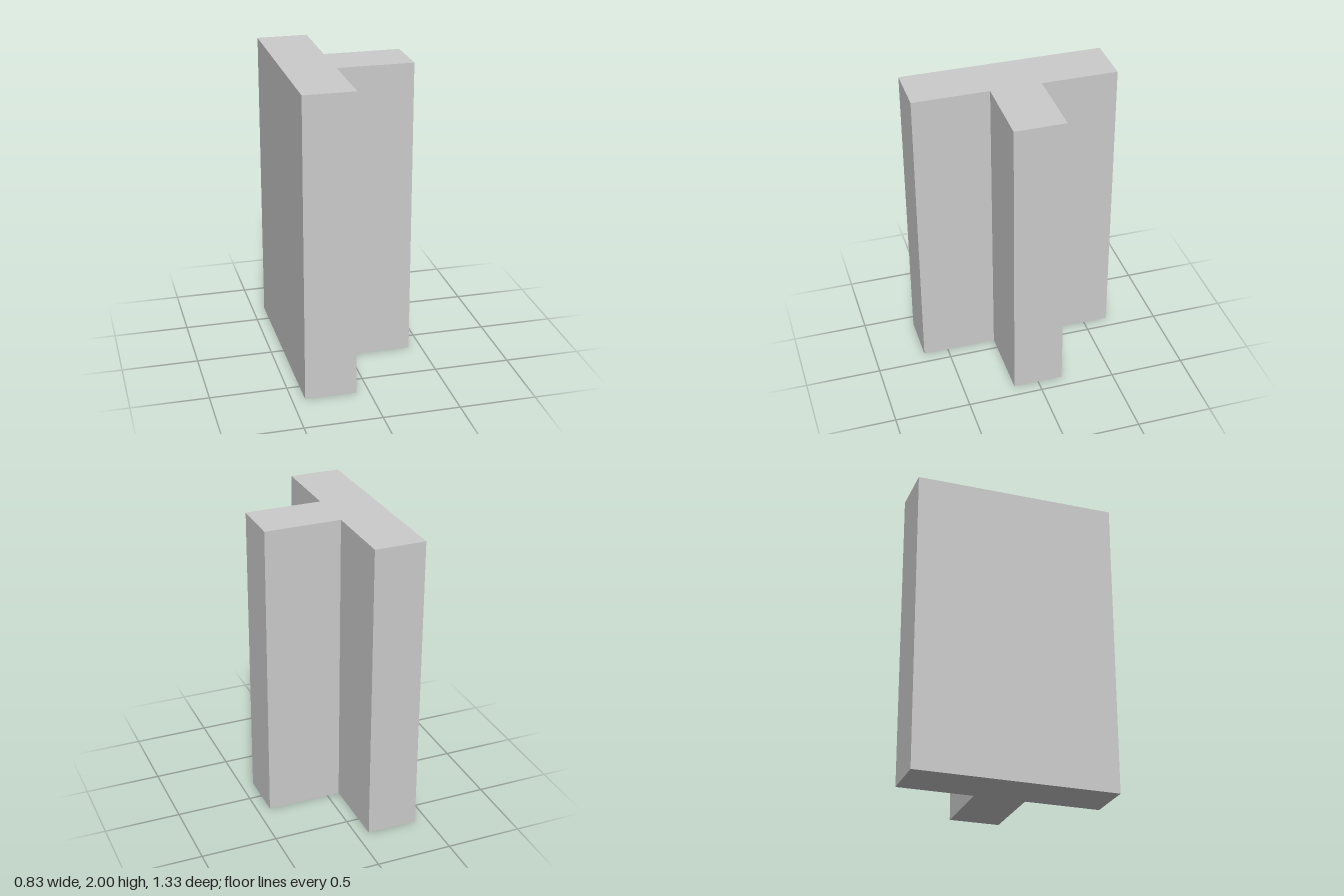
import * as THREE from 'three';

const HEIGHT = 2;
const BACK_X = -5 / 12;      // outer face of the flange
const INNER_X = -1 / 12;     // inner face of the flange
const FRONT_X = 5 / 12;      // end of the stem
const FLANGE_HALF = 2 / 3;
const STEM_HALF = 1 / 6;

export function createModel() {
  const group = new THREE.Group();
  group.name = 'teeColumn';

  // T-shaped footprint, counter-clockwise
  const footprint = new THREE.Shape([
    [BACK_X, -FLANGE_HALF], [INNER_X, -FLANGE_HALF],
    [INNER_X, -STEM_HALF], [FRONT_X, -STEM_HALF],
    [FRONT_X, STEM_HALF], [INNER_X, STEM_HALF],
    [INNER_X, FLANGE_HALF], [BACK_X, FLANGE_HALF],
  ].map(([x, z]) => new THREE.Vector2(x, z)));

  // Footprint raised straight up from the ground
  const geometry = new THREE.ExtrudeGeometry(footprint, { depth: HEIGHT, bevelEnabled: false });
  geometry.rotateX(-Math.PI / 2);

  const column = new THREE.Mesh(
    geometry,
    new THREE.MeshStandardMaterial({ color: 0xcccccc, flatShading: true }),
  );
  column.name = 'teeProfile';
  group.add(column);
  return group;
}
